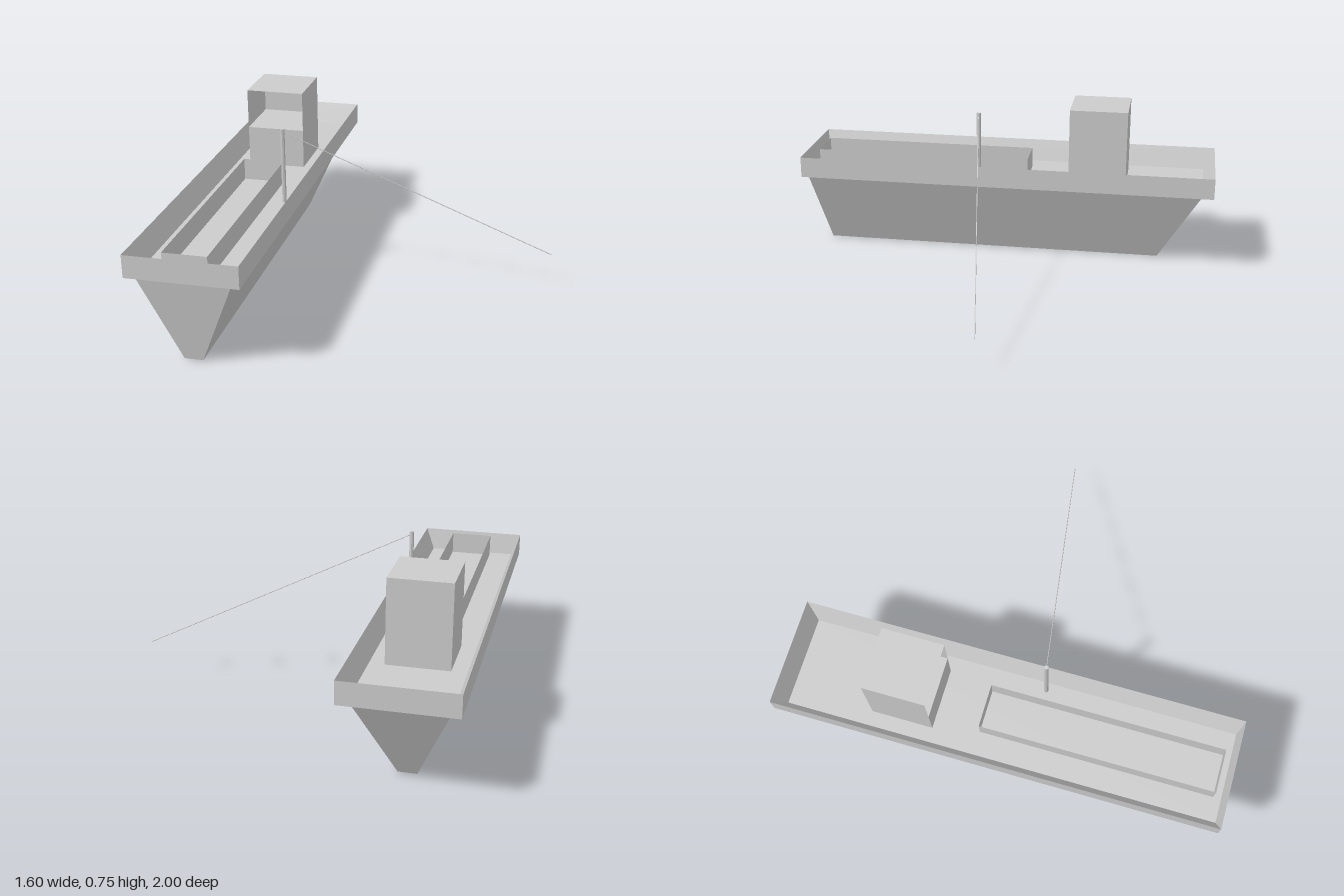
import * as THREE from 'three';

const solid = new THREE.MeshStandardMaterial({ color: 0xcccccc, flatShading: true });
const sheet = new THREE.MeshStandardMaterial({ color: 0xcccccc, flatShading: true, side: THREE.DoubleSide });

// Rectangular cross-section at height y; its first side faces +z
const ring = (y, x0, x1, z0, z1) =>
  [[x0, z1], [x1, z1], [x1, z0], [x0, z0]].map(([x, z]) => new THREE.Vector3(x, y, z));

// Joins rectangular sections with flat faces, with optional end caps and an open front
function loft(name, rings, material, { bottom = false, top = false, openFront = false } = {}) {
  const points = [];
  const quad = (a, b, c, d) => points.push(a, b, c, a, c, d);
  for (let r = 0; r < rings.length - 1; r++) {
    const a = rings[r], b = rings[r + 1];
    for (let i = openFront ? 1 : 0; i < 4; i++) {
      const j = (i + 1) % 4;
      quad(a[i], a[j], b[j], b[i]);
    }
  }
  if (bottom) quad(...[...rings[0]].reverse());
  if (top) quad(...rings[rings.length - 1]);
  const geometry = new THREE.BufferGeometry().setFromPoints(points);
  geometry.computeVertexNormals();
  const mesh = new THREE.Mesh(geometry, material);
  mesh.name = name;
  return mesh;
}

// Straight round bar between two points
function rod(name, from, to, radius, sides) {
  const a = new THREE.Vector3(...from), b = new THREE.Vector3(...to);
  const mesh = new THREE.Mesh(new THREE.CylinderGeometry(radius, radius, a.distanceTo(b), sides), solid);
  mesh.position.copy(a).lerp(b, 0.5);
  mesh.quaternion.setFromUnitVectors(new THREE.Vector3(0, 1, 0), b.clone().sub(a).normalize());
  mesh.name = name;
  return mesh;
}

export function createModel() {
  const group = new THREE.Group();
  group.name = 'boat';
  const deckY = 0.385, rimY = 0.485;

  // Tapered hull, overhanging bulwark with sloping inner faces, then the deck
  group.add(loft('hull', [
    ring(0, -0.6, -0.52, -0.745, 0.915),
    ring(deckY, -0.76, -0.36, -0.95, 0.98),
    ring(deckY, -0.8, -0.32, -1, 1),
    ring(rimY, -0.8, -0.32, -1, 1),
    ring(deckY, -0.76, -0.36, -0.95, 0.98),
  ], solid, { bottom: true, top: true }));

  // Open hatch surround on the foredeck
  const hatch = [-0.655, -0.465, -0.1, 0.945];
  group.add(loft('hatchCoaming', [ring(deckY, ...hatch), ring(rimY, ...hatch)], sheet));

  // Wheelhouse: closed base, and an upper storey open to the front
  const house = [-0.695, -0.425, -0.58, -0.305];
  group.add(loft('wheelhouseBase', [ring(deckY, ...house), ring(0.57, ...house)], sheet, { top: true }));
  group.add(loft('wheelhouseCabin', [ring(0.57, ...house), ring(0.755, ...house)], sheet,
    { top: true, openFront: true }));

  // Rod post at the rail and the line running down over the side
  group.add(rod('post', [-0.395, deckY, 0.127], [-0.395, 0.732, 0.127], 0.01, 8));
  group.add(rod('line', [-0.39, 0.717, 0.127], [0.8, 0.152, -0.063], 0.002, 6));
  return group;
}
